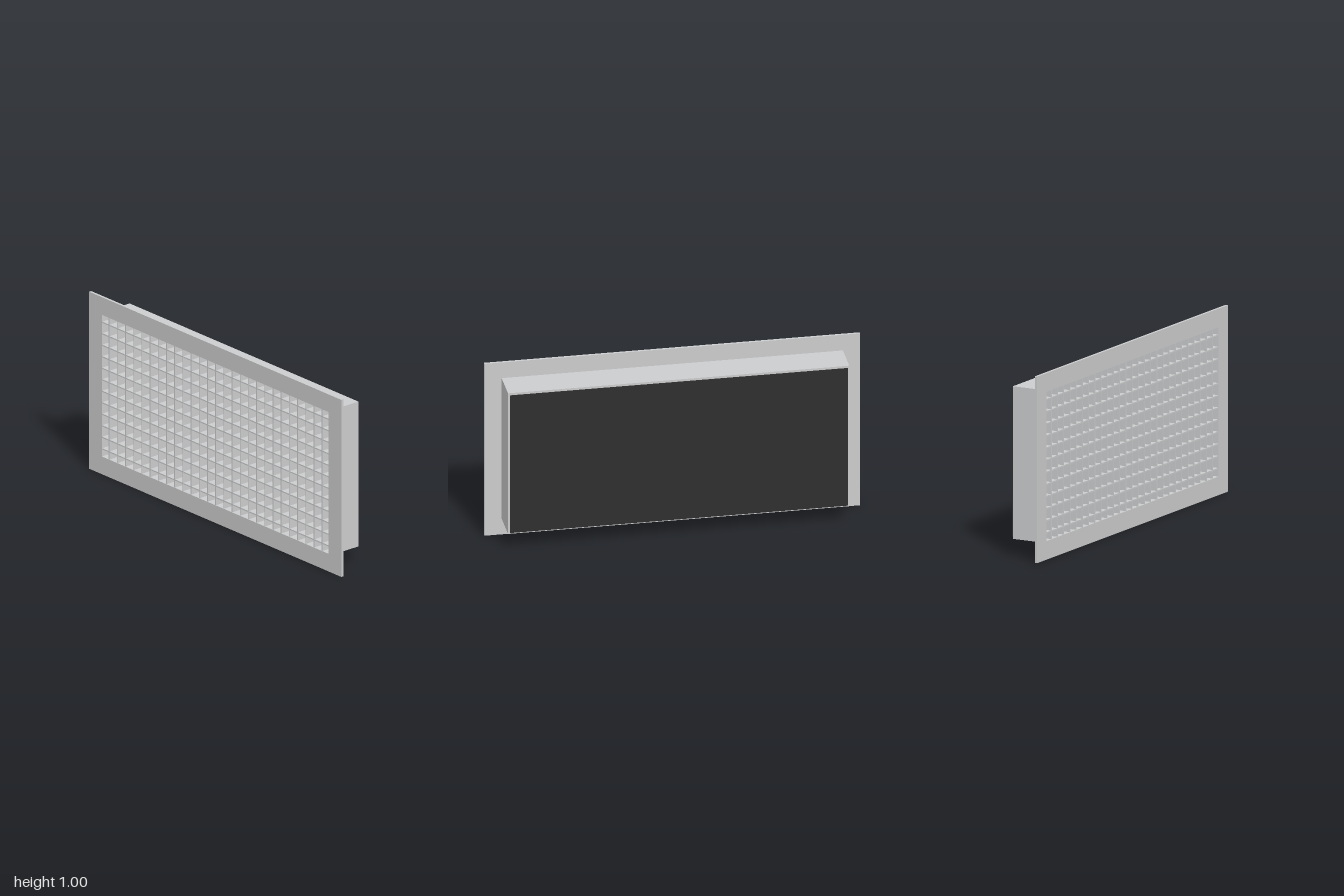
import * as THREE from 'three';

const metal = new THREE.MeshStandardMaterial({ color: 0xcccdce });
metal.name = 'light grey metal';
const black = new THREE.MeshStandardMaterial({ color: 0x2f2f2f });
black.name = 'black backing';

const MID_Y = 0.5;
const OPEN_W = 1.8, OPEN_H = 0.8; // clear opening
const PITCH = 0.065; // spacing of the grid bars

// Rectangular ring extruded from zBack to zFront
function ring(name, outerW, outerH, zBack, zFront) {
  const corners = (w, h) => [[-w, -h], [w, -h], [w, h], [-w, h]]
    .map(([x, y]) => new THREE.Vector2(x / 2, y / 2));
  const shape = new THREE.Shape(corners(outerW, outerH));
  shape.holes.push(new THREE.Path(corners(OPEN_W, OPEN_H).reverse()));
  const geometry = new THREE.ExtrudeGeometry(shape, { depth: zFront - zBack, bevelEnabled: false });
  const mesh = new THREE.Mesh(geometry, metal);
  mesh.name = name;
  mesh.position.set(0, MID_Y, zBack);
  return mesh;
}

function box(name, material, w, h, d, x, y, z) {
  const mesh = new THREE.Mesh(new THREE.BoxGeometry(w, h, d), material);
  mesh.name = name;
  mesh.position.set(x, y, z);
  return mesh;
}

export function createModel() {
  const model = new THREE.Group();
  model.name = 'ventGrille';

  // Flat front flange, the duct collar behind it and the collar's closed back
  model.add(ring('frontFrame', 2, 1, 0.091, 0.105));
  model.add(ring('ductCollar', 1.816, 0.818, -0.094, 0.091));
  model.add(box('collarBack', metal, OPEN_W, OPEN_H, 0.004, 0, MID_Y, -0.092));

  // Egg-crate grid of crossing bars, centred in the opening
  const grid = new THREE.Group();
  grid.name = 'eggCrateGrid';
  const front = 0.103, back = -0.091;
  const depth = front - back, midZ = (front + back) / 2;
  for (let i = -13; i <= 13; i++) {
    grid.add(box('verticalBar', metal, 0.006, OPEN_H, depth, i * PITCH, MID_Y, midZ));
  }
  for (let i = 0; i < 12; i++) {
    const y = MID_Y + (i - 5.5) * PITCH;
    grid.add(box('horizontalBar', metal, OPEN_W, 0.007, depth - 0.001, 0, y, midZ));
  }
  model.add(grid);

  // Thin dark sheet just behind the collar
  model.add(box('backingSheet', black, OPEN_W, OPEN_H, 0.003, 0, MID_Y, -0.1025));

  return model;
}
